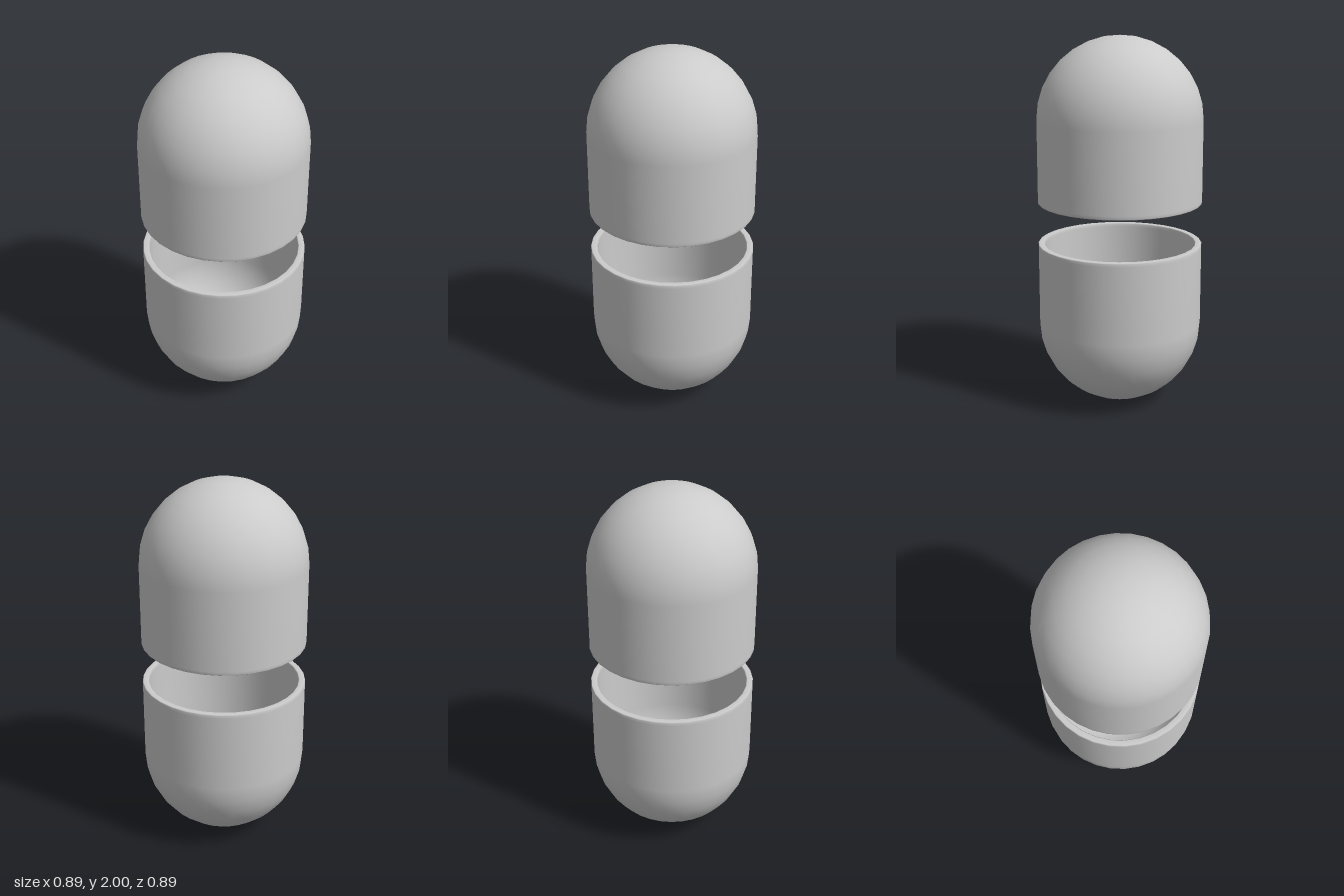
import * as THREE from 'three';

const RADIUS = 0.444, WALL = 0.035, HEIGHT = 0.888, SIDES = 32, ARC_STEPS = 8;

// Hollow half capsule, dome down on y = 0, open rim at the top
function halfCapsuleGeometry() {
  const inner = RADIUS - WALL, bevel = 0.004, loop = 0.02;
  const profile = [];
  const arc = (r, i) => {
    const a = (i / ARC_STEPS) * Math.PI / 2;
    return new THREE.Vector2(i === 0 ? 0 : r * Math.sin(a), RADIUS - r * Math.cos(a));
  };
  // outer dome and wall
  for (let i = 0; i <= ARC_STEPS; i++) profile.push(arc(RADIUS, i));
  // softened rim
  profile.push(
    new THREE.Vector2(RADIUS, HEIGHT - loop),
    new THREE.Vector2(RADIUS, HEIGHT - bevel),
    new THREE.Vector2(RADIUS - bevel, HEIGHT),
    new THREE.Vector2(inner + bevel, HEIGHT),
    new THREE.Vector2(inner, HEIGHT - bevel),
    new THREE.Vector2(inner, HEIGHT - loop),
  );
  // inner wall and dome
  for (let i = ARC_STEPS; i >= 0; i--) profile.push(arc(inner, i));

  const geometry = new THREE.LatheGeometry(profile, SIDES);
  // straight normals at both poles
  const { position, normal } = geometry.attributes;
  for (let i = 0; i < position.count; i++) {
    if (Math.hypot(position.getX(i), position.getZ(i)) < 1e-6) {
      normal.setXYZ(i, 0, position.getY(i) < WALL / 2 ? -1 : 1, 0);
    }
  }
  return geometry;
}

export function createModel() {
  const model = new THREE.Group();
  model.name = 'splitCapsule';
  const material = new THREE.MeshStandardMaterial({ color: 0xcccccc });
  const geometry = halfCapsuleGeometry();

  const lowerHalf = new THREE.Mesh(geometry, material);
  lowerHalf.name = 'lowerHalf';

  // upper half is the same shell turned over
  const upperHalf = new THREE.Mesh(geometry, material);
  upperHalf.name = 'upperHalf';
  upperHalf.rotation.x = Math.PI;
  upperHalf.position.y = 2;

  model.add(lowerHalf, upperHalf);
  return model;
}
